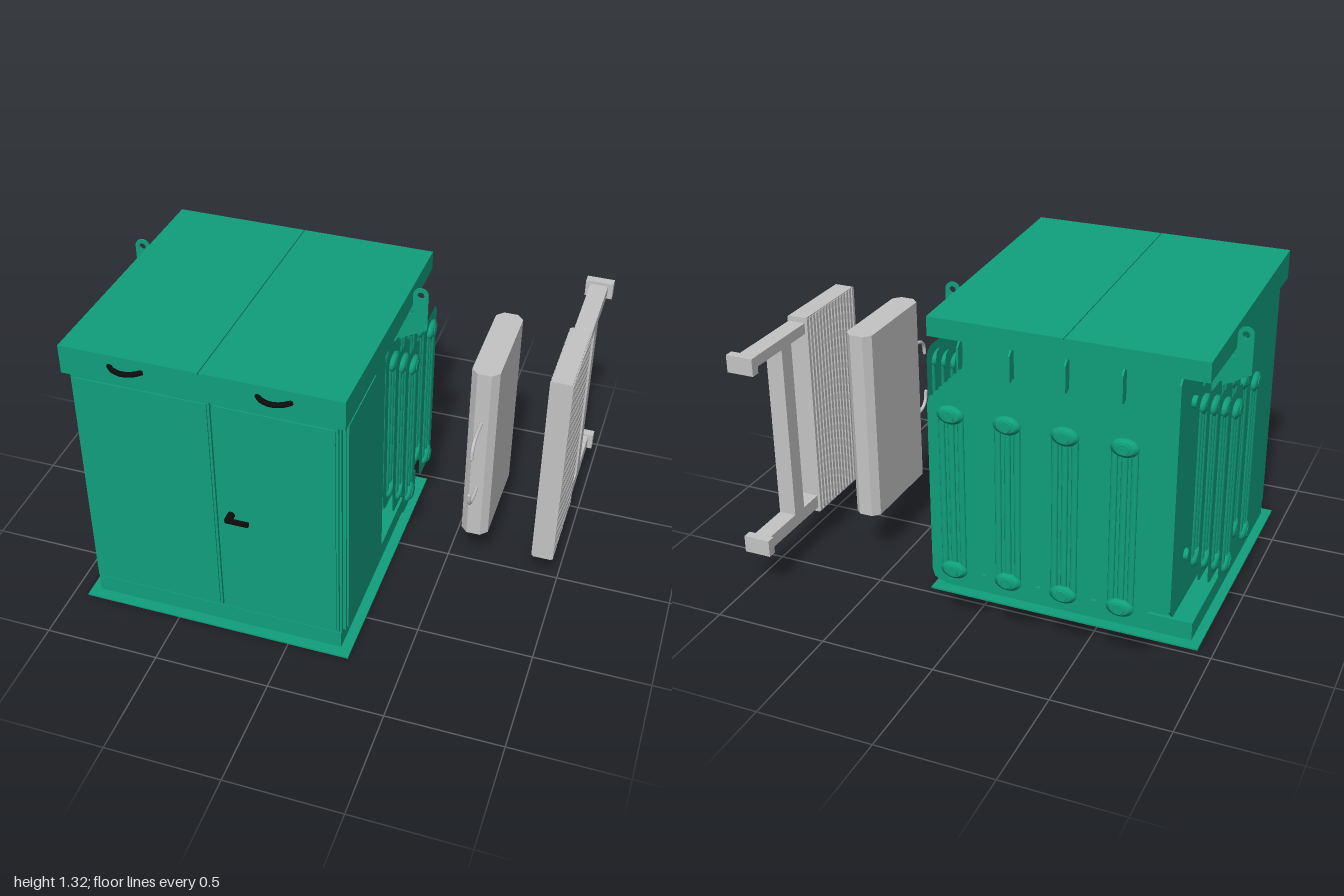
import * as THREE from 'three';
import { mergeGeometries } from 'three/addons/utils/BufferGeometryUtils.js';

const mat = (name, color, side = THREE.FrontSide) => {
  const m = new THREE.MeshStandardMaterial({ color, side });
  m.name = name;
  return m;
};

export function createModel() {
  const root = new THREE.Group();
  root.name = 'transformerCabinet';
  const green = mat('cabinet green', 0x109f7c, THREE.DoubleSide);
  const grey = mat('light grey', 0xc4c4c4);
  const black = mat('handle black', 0x0c0c0c);
  const CX = -0.337; // middle of the cabinet

  const add = (name, geometry, material, parent = root) => {
    const mesh = new THREE.Mesh(geometry, material);
    mesh.name = name;
    parent.add(mesh);
    return mesh;
  };
  const boxGeo = (x0, x1, y0, y1, z0, z1) =>
    new THREE.BoxGeometry(x1 - x0, y1 - y0, z1 - z0).translate((x0 + x1) / 2, (y0 + y1) / 2, (z0 + z1) / 2);
  const box = (name, material, ...b) => add(name, boxGeo(...b), material);
  const poly = (pts) => new THREE.Shape(pts.map((p) => new THREE.Vector2(...p)));
  const extrude = (shape, depth) => new THREE.ExtrudeGeometry(shape, { depth, bevelEnabled: false, curveSegments: 16 });
  // profile given as [z, y], extruded along x
  const sideExtrude = (pts, x, w) =>
    extrude(poly(pts.map(([z, y]) => [-z, y])), w).rotateY(Math.PI / 2).translate(x, 0, 0);
  // open rectangular ring lying flat
  const ring = (x0, x1, z0, z1, t, y0, y1) => {
    const rect = (d) => [[x0 + d, -z0 - d], [x1 - d, -z0 - d], [x1 - d, -z1 + d], [x0 + d, -z1 + d]];
    const s = poly(rect(0));
    s.holes.push(poly(rect(t)));
    return extrude(s, y1 - y0).rotateX(-Math.PI / 2).translate(0, y0, 0);
  };

  // Base: flange, plinth and the ledge around the tank
  add('baseFlange', ring(-0.934, 0.267, -0.47, 0.753, 0.095, 0, 0.008), green);
  add('plinth', ring(-0.893, 0.222, -0.42, 0.705, 0.015, 0.008, 0.09), green);
  box('plinthLedge', green, -0.893, 0.222, 0.082, 0.09, -0.42, 0.15);

  // Tank at the rear, hollow compartment at the front
  box('tank', green, -0.805, 0.131, 0.09, 1.17, -0.405, 0.14);
  box('partition', green, -0.897, 0.224, 0.09, 1.19, 0.14, 0.15);
  box('frontFrame', green, -0.897, 0.224, 0.09, 1.195, 0.69, 0.702);
  for (const x of [-0.897, 0.214]) {
    box('sideWall', green, x, x + 0.01, 0.09, 1.195, 0.15, 0.69);
  }
  box('sidePost', green, 0.222, 0.228, 0.09, 1.195, 0.31, 0.318);

  // Doors with a raised inner panel
  for (const [x0, x1] of [[-0.883, -0.305], [-0.295, 0.215]]) {
    box('frontDoor', green, x0, x1, 0.105, 1.185, 0.702, 0.715);
    box('frontDoorPanel', green, x0 + 0.01, x1 - 0.01, 0.115, 1.175, 0.715, 0.721);
  }
  box('sideDoor', green, 0.224, 0.238, 0.1, 1.187, 0.325, 0.688);
  box('sideDoorPanel', green, 0.238, 0.246, 0.11, 1.177, 0.335, 0.678);

  // Roof: sloping shell in two halves, open below
  const roofY = (z) => 1.276 + (z + 0.47) * 0.0375;
  const top = [[0.726, roofY(0.726)], [-0.47, roofY(-0.47)], [-0.47, roofY(-0.47) - 0.012], [0.726, roofY(0.726) - 0.012]];
  add('roofHalf', sideExtrude(top, -0.922, 0.583), green);
  add('roofHalf', sideExtrude(top, -0.335, 0.583), green);
  box('roofSeam', green, -0.345, -0.329, 1.25, 1.262, -0.46, 0.72);
  const skirt = [[0.726, 1.192], [0.726, roofY(0.726) - 0.003], [-0.47, roofY(-0.47) - 0.003], [-0.47, 1.192]];
  add('roofSide', sideExtrude(skirt, -0.922, 0.008), green);
  add('roofSide', sideExtrude(skirt, 0.24, 0.008), green);
  box('roofFront', green, -0.922, 0.248, 1.192, 1.31, 0.718, 0.726);
  box('roofBack', green, -0.922, 0.248, 1.192, 1.27, -0.47, -0.462);

  // Roof handles and door lever
  for (const x of [-0.64, -0.032]) {
    const bow = new THREE.CatmullRomCurve3([[-0.07, 0.722], [-0.045, 0.745], [0, 0.758], [0.045, 0.745], [0.07, 0.722]]
      .map(([dx, z]) => new THREE.Vector3(x + dx, 1.27, z)));
    add('roofHandle', new THREE.TubeGeometry(bow, 16, 0.011, 8), black);
  }
  add('leverBoss', new THREE.CylinderGeometry(0.016, 0.016, 0.04, 16).rotateX(Math.PI / 2).translate(-0.238, 0.638, 0.738), black);
  box('doorLever', black, -0.25, -0.15, 0.629, 0.647, 0.752, 0.767);

  // Stiffening ribs on the tank back
  for (const x of [-0.805, -0.573, CX, -0.101, 0.123]) {
    add('tankRib', sideExtrude([[-0.4, 0.09], [-0.405, 0.09], [-0.447, 0.135], [-0.447, 1.15], [-0.405, 1.19], [-0.4, 1.19]], x, 0.008), green);
  }

  // Radiators: thin pressed sheets joined through ribbed headers
  const sheet = poly([[-0.06, 0.25], [0.06, 0.25], [0.09, 0.265], [0.1, 0.3], [0.1, 1.04], [0.09, 1.075],
    [0.06, 1.09], [-0.06, 1.09], [-0.09, 1.075], [-0.1, 1.04], [-0.1, 0.3], [-0.09, 0.265]]);
  const STEP = 0.0425;
  const finParts = [new THREE.ShapeGeometry(sheet)];
  for (const y of [0.32, 1.012]) {
    const profile = [[0, -0.0212], [0.038, -0.0212], [0.04, -0.016], [0.056, -0.01], [0.056, 0.01], [0.04, 0.016], [0.038, 0.0212], [0, 0.0212]];
    finParts.push(new THREE.LatheGeometry(profile.map((p) => new THREE.Vector2(...p)), 16)
      .rotateX(Math.PI / 2).scale(1, 0.68, 1).translate(0, y, 0));
  }
  for (const x of [-0.04, 0, 0.04]) {
    finParts.push(new THREE.CylinderGeometry(0.014, 0.014, 0.66, 8).scale(1, 1, 0.6).translate(x, 0.666, 0));
  }
  const finGeo = mergeGeometries(finParts);
  const radiator = (name, count, x, z, turn) => {
    // local +z points away from the tank
    const g = new THREE.Group();
    g.name = name;
    for (let i = 0; i < count; i++) add('radiatorFin', finGeo, green, g).position.z = 0.042 + i * STEP;
    for (const y of [0.32, 1.012]) {
      add('radiatorPipe', new THREE.CylinderGeometry(0.026, 0.026, 0.05, 16).rotateX(Math.PI / 2).translate(0, y, 0.015), green, g);
      add('radiatorEndCap', new THREE.CylinderGeometry(0.022, 0.026, 0.006, 16).rotateX(Math.PI / 2)
        .translate(0, y, 0.042 + (count - 0.5) * STEP), green, g);
    }
    g.position.set(x, 0, z);
    g.rotation.y = turn;
    root.add(g);
  };
  for (let i = 0; i < 4; i++) radiator('backRadiator', 8, -0.69 + i * 0.235, -0.405, Math.PI);
  for (const z of [-0.275, 0.0]) {
    radiator('leftRadiator', 4, 0.131, z, Math.PI / 2);
    radiator('rightRadiator', 4, -0.805, z, -Math.PI / 2);
  }

  // Lifting lugs, one per side
  const lug = poly([[0.13, 0.98], [0.23, 1.05], [0.322, 1.1], [0.322, 1.27]]);
  lug.absarc(0.289, 1.265, 0.033, 0, Math.PI, false);
  lug.lineTo(0.256, 1.17);
  lug.lineTo(0.13, 1.17);
  lug.holes.push(new THREE.Path().absarc(0.289, 1.265, 0.015, 0, Math.PI * 2, true));
  const lugGeo = extrude(lug, 0.008).translate(0, 0, -0.142);
  add('liftingLug', lugGeo, green);
  add('liftingLug', lugGeo.clone().rotateY(Math.PI).translate(2 * CX, 0, -0.276), green);

  // Terminals inside the front compartment
  for (let i = 0; i < 4; i++) {
    add('terminal', new THREE.CylinderGeometry(0.025, 0.035, 0.1, 12).rotateX(Math.PI / 2).translate(-0.62 + i * 0.19, 0.75, 0.2), green);
  }

  // Free-standing grey case with chamfered edges and two hooks
  const caseShape = poly([[-0.03, -0.235], [0.03, -0.235], [0.059, -0.205], [0.059, 0.205], [0.03, 0.235],
    [-0.03, 0.235], [-0.059, 0.205], [-0.059, -0.205]]);
  add('greyCase', extrude(caseShape, 0.855).rotateX(-Math.PI / 2).translate(0.625, 0.238, -0.145), grey);
  for (const [y, d] of [[0.845, -1], [0.5, 1]]) {
    const hook = new THREE.CatmullRomCurve3([[0.08, 0], [0.17, 0], [0.205, 0.01], [0.228, 0.035], [0.235, 0.075]]
      .map(([z, dy]) => new THREE.Vector3(0.625, y + d * dy, z)));
    add('caseHook', new THREE.TubeGeometry(hook, 20, 0.008, 8), grey);
    add('hookEnd', new THREE.SphereGeometry(0.008, 8, 6).translate(0.625, y + d * 0.075, 0.235), grey);
  }

  // Free-standing grey slat pack on a bracket frame
  const slats = 16;
  for (let i = 0; i < slats; i++) {
    const z = 0.068 - (i * 0.39) / (slats - 1);
    box('slat', grey, 0.887, 0.982, 0.175, 1.108, z - 0.008, z + 0.008);
  }
  box('slatCore', grey, 0.915, 0.955, 0.24, 1.04, -0.32, 0.065);
  for (const y of [0.168, 1.1]) box('slatCap', grey, 0.892, 0.977, y, y + 0.012, -0.33, 0.075);
  for (const [y0, y1] of [[1.04, 1.088], [0.19, 0.25]]) {
    const mid = (y0 + y1) / 2;
    box('bracketArm', grey, 0.9, 0.978, y0, y1, -0.74, -0.32);
    box('bracketFoot', grey, 0.88, 1.0, mid - 0.038, mid + 0.038, -0.77, -0.73);
  }
  box('bracketPost', grey, 0.9, 0.978, 0.25, 1.04, -0.52, -0.445);

  return root;
}
